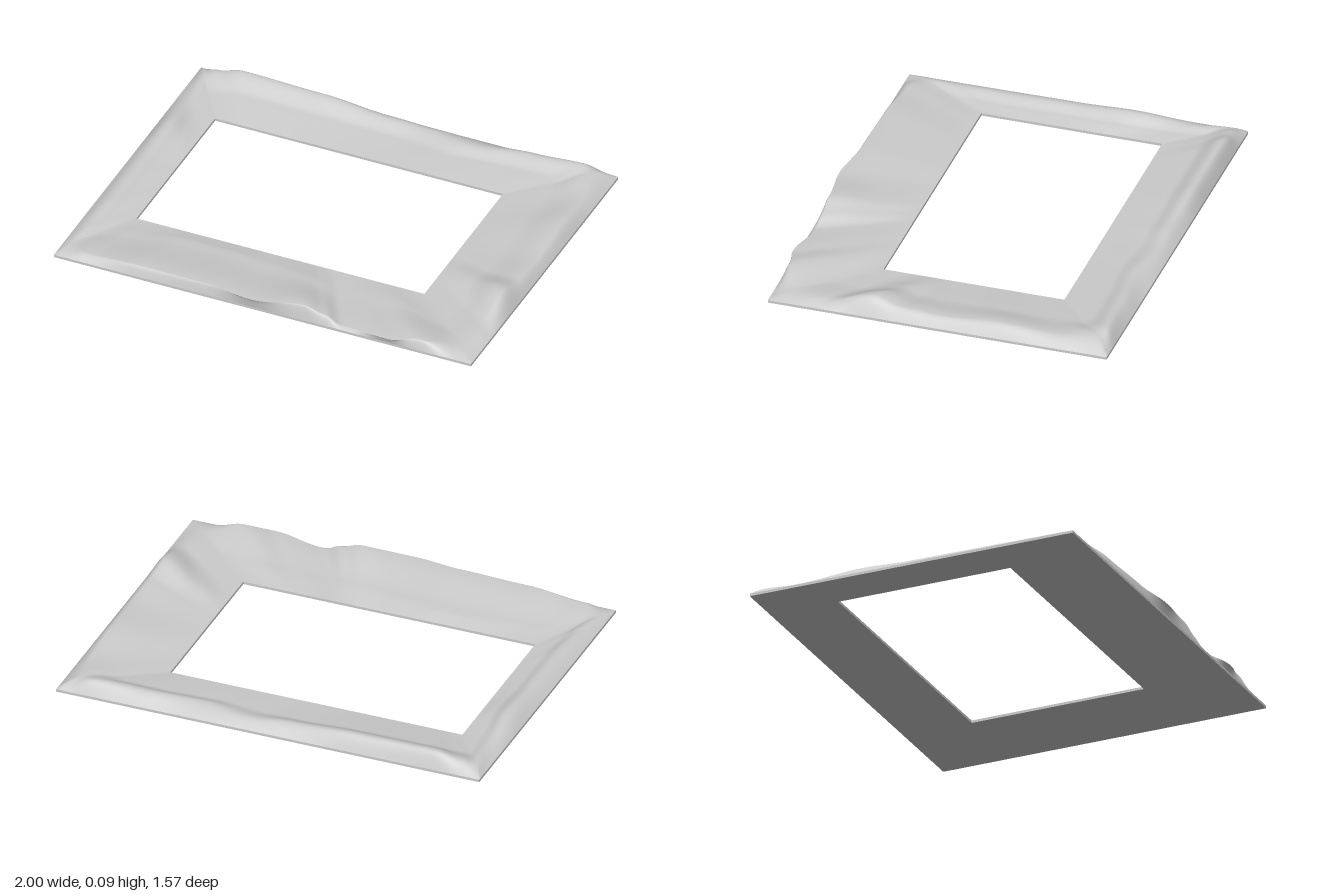
import * as THREE from 'three';

// Plan of the frame: outer and inner corners as [x, z], front-left round to back-left
const OUTER = [[-1, 0.77], [1, 0.77], [1, -0.785], [-1, -0.785]];
const INNER = [[-0.785, 0.37], [0.595, 0.37], [0.595, -0.46], [-0.785, -0.46]];
const BASE = 0.012;

// Ridge along each side: [position 0..1, height, ridge distance, foot distance] (distances as a share of the width)
const SIDES = [
  // front
  [[0, 0.03, 0.25, 0.6], [0.06, 0.04, 0.1, 0.7], [0.2, 0.058, 0.06, 0.8], [0.36, 0.062, 0.04, 0.8],
    [0.475, 0.058, -0.03, 0.75], [0.6, 0.08, 0.05, 0.7], [0.65, 0.055, 0.06, 0.7], [0.69, 0.022, 0.06, 0.7],
    [0.8, 0.038, -0.03, 0.7], [0.88, 0.058, 0.05, 0.7], [1, 0.03, 0.25, 0.6]],
  // right-hand side of the plan (+x)
  [[0, 0.03, 0.25, 0.6], [0.13, 0.035, 0.18, 0.6], [0.28, 0.092, 0.16, 0.65], [0.38, 0.062, 0.13, 0.6],
    [0.5, 0.055, 0.12, 0.6], [0.69, 0.066, 0.14, 0.6], [0.86, 0.052, 0.16, 0.6], [1, 0.06, 0.25, 0.6]],
  // back
  [[0, 0.06, 0.25, 0.6], [0.05, 0.072, 0.16, 0.5], [0.17, 0.062, 0.2, 0.5], [0.3, 0.05, 0.28, 0.55],
    [0.43, 0.045, 0.18, 0.5], [0.53, 0.058, 0.2, 0.48], [0.7, 0.08, 0.16, 0.5], [0.9, 0.086, 0.14, 0.5],
    [0.965, 0.06, 0.18, 0.55], [1, 0.045, 0.25, 0.6]],
  // left-hand side of the plan (-x)
  [[0, 0.045, 0.25, 0.6], [0.12, 0.037, 0.3, 0.65], [0.31, 0.062, 0.35, 0.75], [0.5, 0.05, 0.35, 0.7],
    [0.76, 0.046, 0.35, 0.7], [0.92, 0.038, 0.3, 0.65], [1, 0.03, 0.25, 0.6]],
];

// Smooth blend between the two nearest keys
function ridgeAt(keys, s) {
  let k = 0;
  while (k < keys.length - 2 && s > keys[k + 1][0]) k++;
  const t = THREE.MathUtils.smoothstep(s, keys[k][0], keys[k + 1][0]);
  return [1, 2, 3].map((c) => THREE.MathUtils.lerp(keys[k][c], keys[k + 1][c], t));
}

// Cross-section from outer edge over the ridge to the inner edge: [share of width, height]
function section([height, ridge, foot]) {
  const rise = height - BASE;
  const points = [];
  for (let i = 0; i < 7; i++) {
    const u = i / 6;
    points.push([ridge * u, BASE + rise * Math.sin(u * Math.PI / 2)]);
  }
  for (let i = 1; i <= 9; i++) {
    const u = i / 9;
    const fall = 0.5 + 0.5 * Math.cos(u * Math.PI);
    points.push([ridge + (foot - ridge) * u, BASE + rise * (0.35 + 0.65 * fall)]);
  }
  for (let i = 1; i <= 4; i++) {
    const u = i / 4;
    points.push([foot + (1 - foot) * u, BASE + rise * 0.35 * (1 - u)]);
  }
  return points;
}

// Rippled upper surface, lofted round the frame
function rippledTop() {
  const steps = 90;
  const positions = [];
  const index = [];
  let rows = 0;
  SIDES.forEach((keys, side) => {
    const next = (side + 1) % 4;
    for (let i = 0; i < steps; i++) {
      const s = i / steps;
      const mix = (corners, c) => THREE.MathUtils.lerp(corners[side][c], corners[next][c], s);
      const profile = section(ridgeAt(keys, s));
      rows = profile.length;
      for (const [f, y] of profile) {
        positions.push(
          THREE.MathUtils.lerp(mix(OUTER, 0), mix(INNER, 0), f), y,
          THREE.MathUtils.lerp(mix(OUTER, 1), mix(INNER, 1), f));
      }
    }
  });
  const columns = steps * 4;
  for (let i = 0; i < columns; i++) {
    for (let j = 0; j < rows - 1; j++) {
      const a = i * rows + j;
      const b = ((i + 1) % columns) * rows + j;
      index.push(a, b, a + 1, b, b + 1, a + 1);
    }
  }
  const geometry = new THREE.BufferGeometry();
  geometry.setAttribute('position', new THREE.Float32BufferAttribute(positions, 3));
  geometry.setIndex(index);
  geometry.computeVertexNormals();
  return geometry;
}

// Thin flat plate with the rectangular opening
function basePlate() {
  const toPoints = (corners) => corners.map(([x, z]) => new THREE.Vector2(x, z));
  const shape = new THREE.Shape(toPoints(OUTER));
  shape.holes.push(new THREE.Path(toPoints(INNER)));
  const geometry = new THREE.ExtrudeGeometry(shape, { depth: BASE, bevelEnabled: false });
  return geometry.rotateX(Math.PI / 2).translate(0, BASE, 0);
}

export function createModel() {
  const model = new THREE.Group();
  model.name = 'rippledFrame';
  const material = new THREE.MeshStandardMaterial({ color: 0xcccccc, side: THREE.DoubleSide });
  const add = (name, geometry) => {
    const mesh = new THREE.Mesh(geometry, material);
    mesh.name = name;
    model.add(mesh);
  };
  add('rippledTop', rippledTop());
  add('basePlate', basePlate());
  return model;
}
